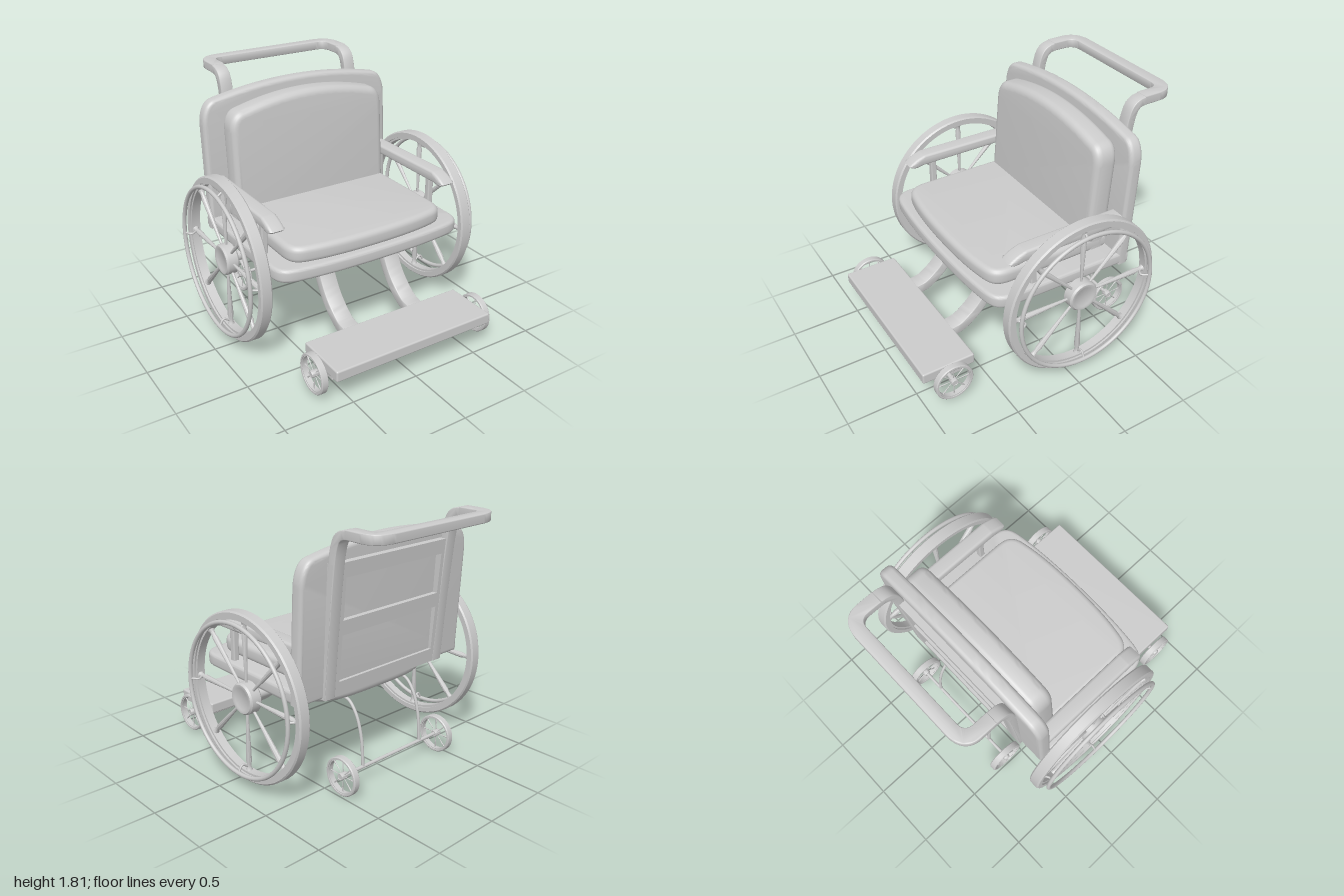
import * as THREE from 'three';
import { toCreasedNormals } from 'three/addons/utils/BufferGeometryUtils.js';
import { RoundedBoxGeometry } from 'three/addons/geometries/RoundedBoxGeometry.js';

const mat = new THREE.MeshStandardMaterial({ color: 0xcccccc });

function add(parent, name, geo, x = 0, y = 0, z = 0) {
  const m = new THREE.Mesh(geo, mat);
  m.name = name;
  m.position.set(x, y, z);
  parent.add(m);
  return m;
}

// Extrude a shape to a total depth, centred on its plane, with inset rounded edges
function slab(shape, depth, bevel) {
  const g = new THREE.ExtrudeGeometry(shape, {
    depth: depth - 2 * bevel, bevelEnabled: bevel > 0, bevelThickness: bevel, bevelSize: bevel,
    bevelOffset: -bevel, bevelSegments: 5, curveSegments: 14
  });
  g.translate(0, 0, bevel - depth / 2);
  return toCreasedNormals(g, 0.6);
}
const lay = g => g.rotateX(Math.PI / 2);       // shape (x, z), thickness in y
const turn = g => g.rotateY(-Math.PI / 2);     // shape (z, y), thickness in x

// Lean a slab backwards with height
function lean(g, y0, slope) {
  const p = g.attributes.position;
  for (let i = 0; i < p.count; i++) p.setZ(i, p.getZ(i) - (p.getY(i) - y0) * slope);
  return toCreasedNormals(g, 0.6);
}

// Band of constant width along a 2D curve
function ribbon(points, w) {
  const c = new THREE.SplineCurve(points.map(p => new THREE.Vector2(...p)));
  const a = [], b = [];
  for (let i = 0; i <= 24; i++) {
    const p = c.getPoint(i / 24), t = c.getTangent(i / 24);
    const n = new THREE.Vector2(-t.y, t.x).multiplyScalar(w / 2);
    a.push(p.clone().add(n));
    b.unshift(p.clone().sub(n));
  }
  return new THREE.Shape([...a, ...b]);
}

// Backrest outline: straight sides, rounded shoulders, arched top
function backShape(w, y0, side, top) {
  const s = new THREE.Shape(), k = w - 0.1, sh = top - 0.07;
  s.moveTo(-w, y0);
  s.lineTo(w, y0);
  s.lineTo(w, side);
  s.bezierCurveTo(w, side + 0.08, w - 0.03, sh - 0.01, k, sh);
  s.quadraticCurveTo(k / 2, top, 0, top);
  s.quadraticCurveTo(-k / 2, top, -k, sh);
  s.bezierCurveTo(-w + 0.03, sh - 0.01, -w, side + 0.08, -w, side);
  return s;
}

// Seat outline: nearly square, with a bowed front
function seatShape(w, wf, back, front) {
  const s = new THREE.Shape();
  s.moveTo(-w, back);
  s.lineTo(w, back);
  s.lineTo(wf, front - 0.2);
  s.bezierCurveTo(wf, front - 0.08, wf - 0.05, front - 0.05, wf - 0.14, front - 0.035);
  s.quadraticCurveTo(wf / 2, front, 0, front);
  s.quadraticCurveTo(-wf / 2, front, -wf + 0.14, front - 0.035);
  s.bezierCurveTo(-wf + 0.05, front - 0.05, -wf, front - 0.08, -wf, front - 0.2);
  return s;
}

function rect(S, x0, y0, x1, y1) {
  const s = new S();
  s.moveTo(x0, y0); s.lineTo(x1, y0); s.lineTo(x1, y1); s.lineTo(x0, y1); s.closePath();
  return s;
}

function lathe(points, seg) {
  return toCreasedNormals(new THREE.LatheGeometry(points.map(p => new THREE.Vector2(...p)), seg), 0.6);
}

function rod(r, length) {
  return new THREE.CylinderGeometry(r, r, length, 20).rotateZ(Math.PI / 2);
}

// Spoked wheel turning on the x axis
function wheel(name, R, w, rim, hubR) {
  const g = new THREE.Group(), h = w / 2, b = w * 0.12, ri = R - rim;
  g.name = name;
  add(g, 'tyre', lathe([[ri, -h * 0.7], [ri + rim * 0.25, -h * 0.7], [ri + rim * 0.25, -h], [R - b, -h],
    [R, -h + b], [R, h - b], [R - b, h], [ri + rim * 0.25, h], [ri + rim * 0.25, h * 0.7], [ri, h * 0.7],
    [ri, -h * 0.7]], 72).rotateZ(Math.PI / 2));
  add(g, 'hub', lathe([[0, -h], [hubR * 0.65, -h], [hubR * 0.72, -h * 1.1], [hubR * 0.9, -h * 1.1], [hubR, -h * 0.8],
    [hubR, h * 0.8], [hubR * 0.9, h * 1.1], [hubR * 0.72, h * 1.1], [hubR * 0.65, h], [0, h]], 36).rotateZ(Math.PI / 2));
  const spoke = lathe([[R * 0.014, hubR * 0.8], [R * 0.036, R * 0.78], [R * 0.025, R * 0.83],
    [R * 0.03, R * 0.87], [R * 0.05, ri + rim * 0.15]], 10);
  for (let i = 0; i < 8; i++) add(g, 'spoke', spoke).rotation.x = i * Math.PI / 4;
  return g;
}

export function createModel() {
  const model = new THREE.Group();
  model.name = 'wheelchair';

  // Seat
  add(model, 'seatBase', lay(slab(seatShape(0.76, 0.745, -0.54, 0.56), 0.095, 0.025)), 0, 0.727);
  add(model, 'seatCushion', lay(slab(seatShape(0.625, 0.625, -0.44, 0.51), 0.12, 0.04)), 0, 0.82);

  // Rounded pan below the seat
  const pan = new THREE.SphereGeometry(1, 64, 24, 0, Math.PI * 2, Math.PI / 2, Math.PI / 2);
  const p = pan.attributes.position;
  for (let i = 0; i < p.count; i++) {
    const v = new THREE.Vector3().fromBufferAttribute(p, i);
    v.divideScalar(Math.pow(v.x ** 4 + v.y ** 4 + v.z ** 4, 0.25));
    p.setXYZ(i, v.x * 0.58, v.y * 0.125, v.z * 0.45);
  }
  pan.computeVertexNormals();
  add(model, 'seatPan', pan, 0, 0.685, -0.07);

  // Backrest
  add(model, 'backBoard', lean(slab(backShape(0.76, 0.68, 1.45, 1.7), 0.1, 0.03), 0.68, 0.05), 0, 0, -0.5);
  add(model, 'backCushion', lean(slab(backShape(0.625, 0.78, 1.42, 1.64), 0.17, 0.05), 0.78, 0.07), 0, 0, -0.365);

  // Rear frame with two recessed panels
  const frame = rect(THREE.Shape, -0.56, 0.68, 0.56, 1.58);
  frame.holes.push(rect(THREE.Path, -0.44, 0.78, 0.44, 1.1), rect(THREE.Path, -0.44, 1.2, 0.44, 1.48));
  add(model, 'backFrame', lean(slab(frame, 0.06, 0), 0.68, 0.085), 0, 0, -0.538);

  // Push handle
  const u = new THREE.Shape();
  u.moveTo(-0.56, -0.74);
  u.lineTo(-0.56, -0.86);
  u.bezierCurveTo(-0.56, -0.95, -0.5, -1, -0.4, -1);
  u.lineTo(0.4, -1);
  u.bezierCurveTo(0.5, -1, 0.56, -0.95, 0.56, -0.86);
  u.lineTo(0.56, -0.74);
  u.lineTo(0.47, -0.74);
  u.lineTo(0.47, -0.84);
  u.quadraticCurveTo(0.47, -0.91, 0.4, -0.91);
  u.lineTo(-0.4, -0.91);
  u.quadraticCurveTo(-0.47, -0.91, -0.47, -0.84);
  u.lineTo(-0.47, -0.74);
  add(model, 'pushHandle', lay(slab(u, 0.064, 0.008)), 0, 1.778);
  const upright = turn(slab(ribbon([[-0.54, 0.68], [-0.58, 1.15], [-0.622, 1.55], [-0.65, 1.7],
    [-0.69, 1.76], [-0.76, 1.778]], 0.06), 0.09, 0.008));

  // Curved leg and armrest profiles
  const leg = turn(slab(ribbon([[0.63, 0.24], [0.52, 0.265], [0.39, 0.37], [0.3, 0.5], [0.25, 0.63]], 0.075), 0.125, 0.01));
  const arm = new THREE.Shape();
  arm.moveTo(-0.52, 1.01);
  arm.lineTo(0.3, 1.005);
  arm.quadraticCurveTo(0.38, 0.98, 0.41, 1.02);
  arm.quadraticCurveTo(0.37, 1.06, 0.28, 1.085);
  arm.lineTo(-0.52, 1.08);
  const armGeo = turn(slab(arm, 0.115, 0.022));

  for (const s of [1, -1]) {
    add(model, 'handleUpright', upright, s * 0.515);
    add(model, 'footrestLeg', leg, s * 0.268);
    add(model, 'armrest', armGeo, s * 0.69);
    add(model, 'armrestPost', new RoundedBoxGeometry(0.045, 0.27, 0.045, 3, 0.01), s * 0.688, 0.89, 0.2);

    // Drive wheel and hand rim
    const drive = wheel('driveWheel', 0.588, 0.085, 0.06, 0.11);
    drive.position.set(s * 0.822, 0.63, -0.1);
    model.add(drive);
    add(drive, 'handRim', new THREE.TorusGeometry(0.525, 0.015, 10, 72).rotateY(Math.PI / 2), s * 0.088);
    const link = new THREE.TubeGeometry(new THREE.CatmullRomCurve3([
      new THREE.Vector3(s * 0.01, 0.5, 0), new THREE.Vector3(s * 0.055, 0.475, 0), new THREE.Vector3(s * 0.088, 0.52, 0)
    ]), 12, 0.008, 8);
    for (let i = 0; i < 4; i++) add(drive, 'rimLink', link).rotation.x = i * Math.PI / 2;

    // Casters
    const front = wheel('frontCaster', 0.14, 0.05, 0.022, 0.025);
    front.position.set(s * 0.67, 0.17, 0.8);
    const rear = wheel('rearCaster', 0.137, 0.05, 0.022, 0.025);
    rear.position.set(s * 0.465, 0.14, -0.64);
    model.add(front, rear);

    // Curved strut to the rear axle
    const path = [[0.59, -0.44], [0.58, -0.5], [0.5, -0.57], [0.35, -0.62], [0.14, -0.64]];
    add(model, 'rearStrut', new THREE.TubeGeometry(new THREE.CatmullRomCurve3(
      path.map(([y, z]) => new THREE.Vector3(s * 0.28, y, z))), 30, 0.011, 10));
  }

  // Axles
  add(model, 'mainAxle', rod(0.035, 1.6), 0, 0.63, -0.1);
  add(model, 'frontAxle', rod(0.016, 1.34), 0, 0.17, 0.8);
  add(model, 'rearAxle', rod(0.012, 0.93), 0, 0.14, -0.64);

  // Footrest
  add(model, 'footrest', new RoundedBoxGeometry(1.25, 0.08, 0.39, 3, 0.012), 0, 0.24, 0.805);
  add(model, 'footrestTray', new RoundedBoxGeometry(1.2, 0.06, 0.21, 2, 0.008), 0, 0.178, 0.8);

  return model;
}
